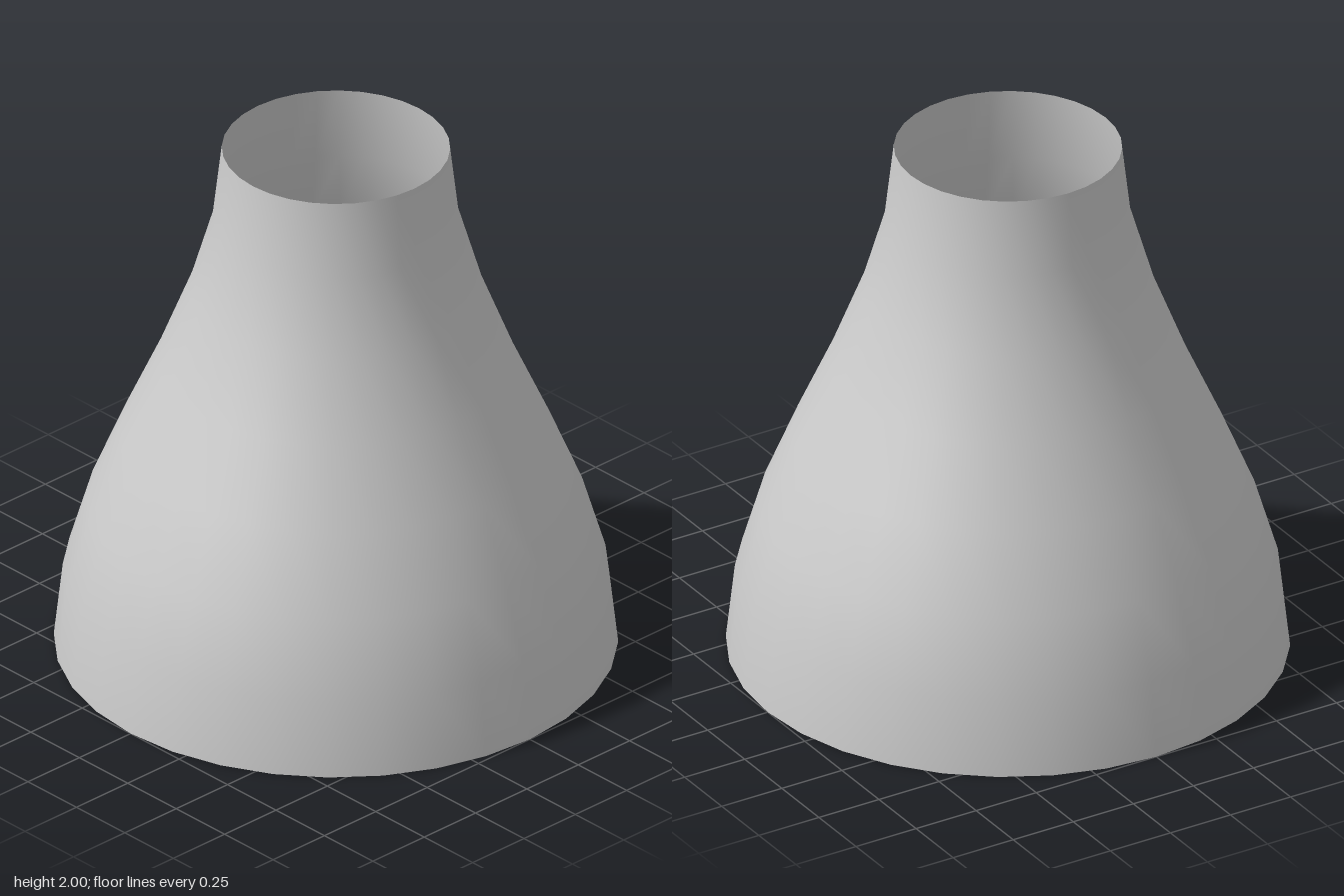
import * as THREE from 'three';

export function createModel() {
  const group = new THREE.Group();
  group.name = 'flaredSleeve';

  // Radii at evenly spaced heights, from the wide foot to the narrow neck
  const radii = [1, 0.968, 0.883, 0.764, 0.635, 0.522, 0.438, 0.405];
  const height = 2;
  const profile = radii.map(
    (r, i) => new THREE.Vector2(r, (height * i) / (radii.length - 1))
  );

  // Thin open shell, smooth around its axis
  const shell = new THREE.Mesh(
    new THREE.LatheGeometry(profile, 32),
    new THREE.MeshStandardMaterial({ color: 0xcccccc, side: THREE.DoubleSide })
  );
  shell.name = 'shell';
  group.add(shell);

  return group;
}
